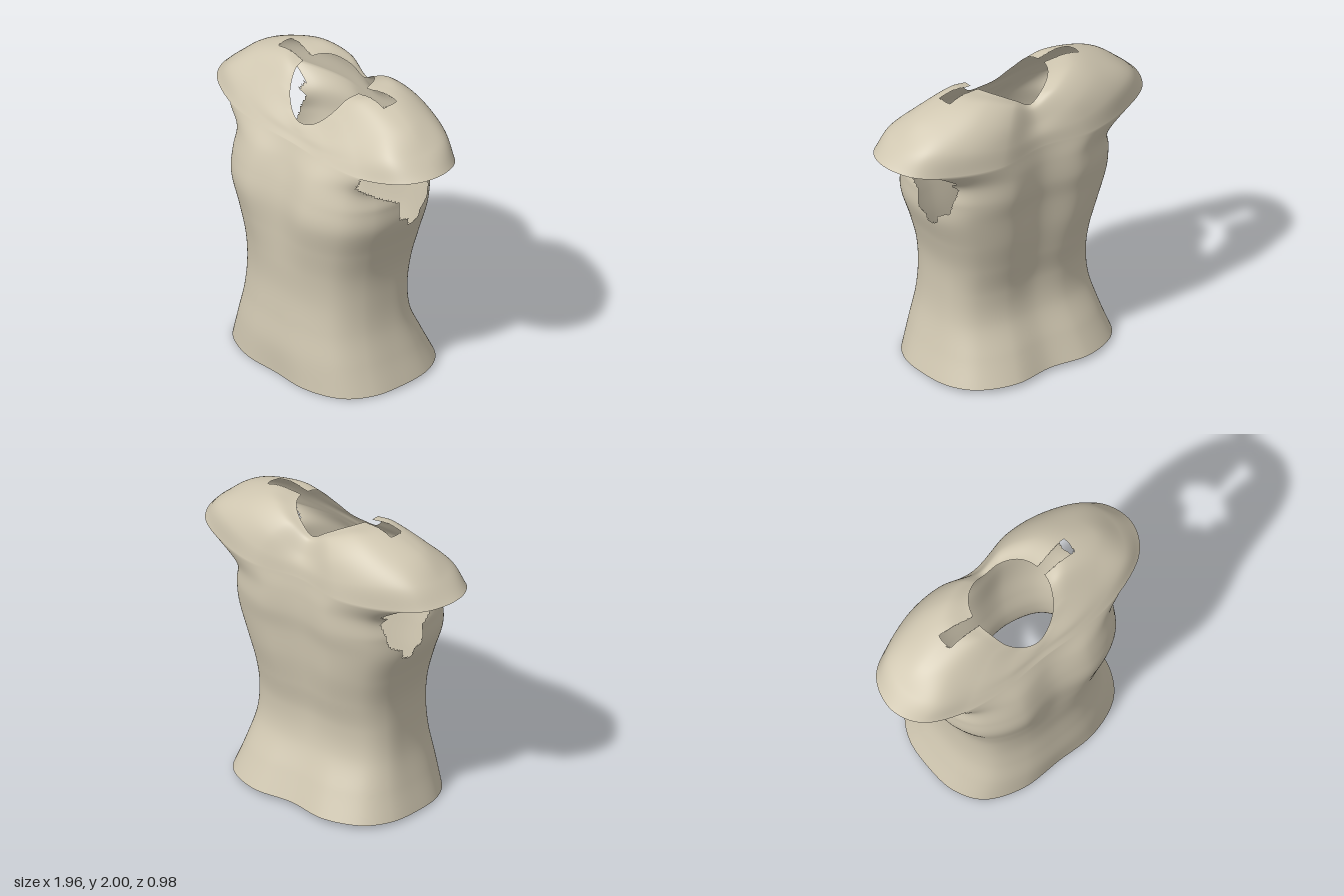
import * as THREE from 'three';

const AROUND = 256, UPPER = 70, LOWER = 90;

// Half rings from front centre, round the left side, to back centre: [x, y, z]
const upperRings = [
  // neckline
  [[0, 1.74, .27], [.1, 1.765, .245], [.19, 1.85, .19], [.245, 1.95, .1], [.265, 1.975, 0],
    [.245, 1.985, -.1], [.19, 1.97, -.18], [.1, 1.925, -.235], [0, 1.87, -.25]],
  // top of the shoulders
  [[0, 1.71, .29], [.17, 1.76, .255], [.3, 1.86, .19], [.38, 1.97, .09], [.45, 1.993, -.03],
    [.42, 1.997, -.15], [.32, 1.985, -.24], [.17, 1.93, -.3], [0, 1.85, -.29]],
  // outer shoulder
  [[0, 1.68, .305], [.24, 1.71, .3], [.45, 1.78, .245], [.6, 1.9, .12], [.7, 1.91, -.02],
    [.62, 1.92, -.19], [.46, 1.91, -.31], [.25, 1.85, -.37], [0, 1.77, -.33]],
  // sleeve cap
  [[0, 1.65, .32], [.29, 1.665, .325], [.55, 1.7, .285], [.77, 1.78, .19], [.865, 1.78, -.01],
    [.8, 1.8, -.23], [.58, 1.78, -.36], [.31, 1.74, -.41], [0, 1.7, -.365]],
  // sleeve hem, level with the upper chest
  [[0, 1.62, .34], [.33, 1.62, .35], [.62, 1.62, .31], [.88, 1.655, .2], [.98, 1.67, 0],
    [.9, 1.655, -.23], [.66, 1.63, -.36], [.35, 1.62, -.43], [0, 1.62, -.38]],
];

// Torso: [y, half width, front centre z, front z, back z, back centre z]
const torso = [
  [1.5, .67, .385, .42, -.43, -.39],
  [1.35, .665, .43, .468, -.43, -.39],
  [1.2, .66, .455, .49, -.405, -.37],
  [1.0, .595, .455, .465, -.38, -.35],
  [.8, .545, .45, .44, -.34, -.32],
  [.6, .535, .445, .43, -.305, -.29],
  [.4, .55, .46, .445, -.32, -.31],
  [.2, .6, .48, .468, -.41, -.39],
  [.015, .66, .475, .475, -.49, -.46],
];
const wide = [0, .42, .78, .96, 1, .96, .78, .42, 0];
const torsoRings = torso.map(([y, w, c0, front, back, c8]) => {
  const zs = [c0, front, front * .81, front * .45, 0, back * .47, back * .82, back, c8];
  return zs.map((z, i) => [wide[i] * w, y < .1 ? y - .03 * z : y, z]);
});

// Mirrors a half ring into a smooth closed curve
function closedRing(half) {
  const points = half.map(p => new THREE.Vector3(...p));
  for (let i = 7; i > 0; i--) points.push(new THREE.Vector3(-half[i][0], half[i][1], half[i][2]));
  return new THREE.CatmullRomCurve3(points, true, 'catmullrom', .5);
}

function inside(poly, a, b) {
  let hit = false;
  for (let i = 0, j = poly.length - 1; i < poly.length; j = i++) {
    const [xi, yi] = poly[i], [xj, yj] = poly[j];
    if ((yi > b) !== (yj > b) && a < (xj - xi) * (b - yi) / (yj - yi) + xi) hit = !hit;
  }
  return hit;
}

// Ragged armhole in (z, y) and shoulder slit in (|x|, z)
const armhole = [[.31, 1.7], [.31, 1.53], [.2, 1.45], [.03, 1.36], [.02, 1.23], [-.05, 1.22], [-.06, 1.16],
  [-.14, 1.18], [-.15, 1.24], [-.24, 1.29], [-.28, 1.47], [-.25, 1.5], [-.31, 1.54], [-.32, 1.7]];
const slit = [[.2, -.04], [.51, -.09], [.515, -.04], [.505, .015], [.2, .015]];

function shirtGeometry() {
  const upper = upperRings.map(closedRing);
  const lower = [upperRings[4], ...torsoRings].map(closedRing);
  const rows = UPPER + LOWER + 1;
  const points = [];
  for (let i = 0; i < AROUND; i++) {
    const strand = rings => new THREE.CatmullRomCurve3(
      rings.map(r => r.getPoint(i / AROUND)), false, 'catmullrom', .5);
    points.push([
      ...strand(upper).getPoints(UPPER),
      ...strand(lower).getPoints(LOWER).slice(1),
    ]);
  }
  const index = [];
  const centre = new THREE.Vector3();
  const at = k => points[Math.floor(k / rows)][k % rows];
  for (let i = 0; i < AROUND; i++) {
    const next = (i + 1) % AROUND;
    for (let r = 0; r < rows - 1; r++) {
      const a = i * rows + r, b = next * rows + r;
      for (const tri of [[a, a + 1, b], [b, a + 1, b + 1]]) {
        centre.set(0, 0, 0);
        tri.forEach(k => centre.addScaledVector(at(k), 1 / 3));
        const { x, y, z } = centre;
        const cut = r >= UPPER
          ? Math.abs(x) > .45 && inside(armhole, z, y)
          : y > 1.9 && inside(slit, Math.abs(x), z);
        if (!cut) index.push(...tri);
      }
    }
  }
  const geometry = new THREE.BufferGeometry().setFromPoints(points.flat());
  geometry.setIndex(index);
  geometry.computeVertexNormals();
  return geometry;
}

export function createModel() {
  const group = new THREE.Group();
  group.name = 'shirt';
  const cloth = new THREE.MeshStandardMaterial({ color: 0xd0c7b1, side: THREE.DoubleSide });
  cloth.name = 'beige cloth';
  const shirt = new THREE.Mesh(shirtGeometry(), cloth);
  shirt.name = 'shirtBody';
  group.add(shirt);
  return group;
}
